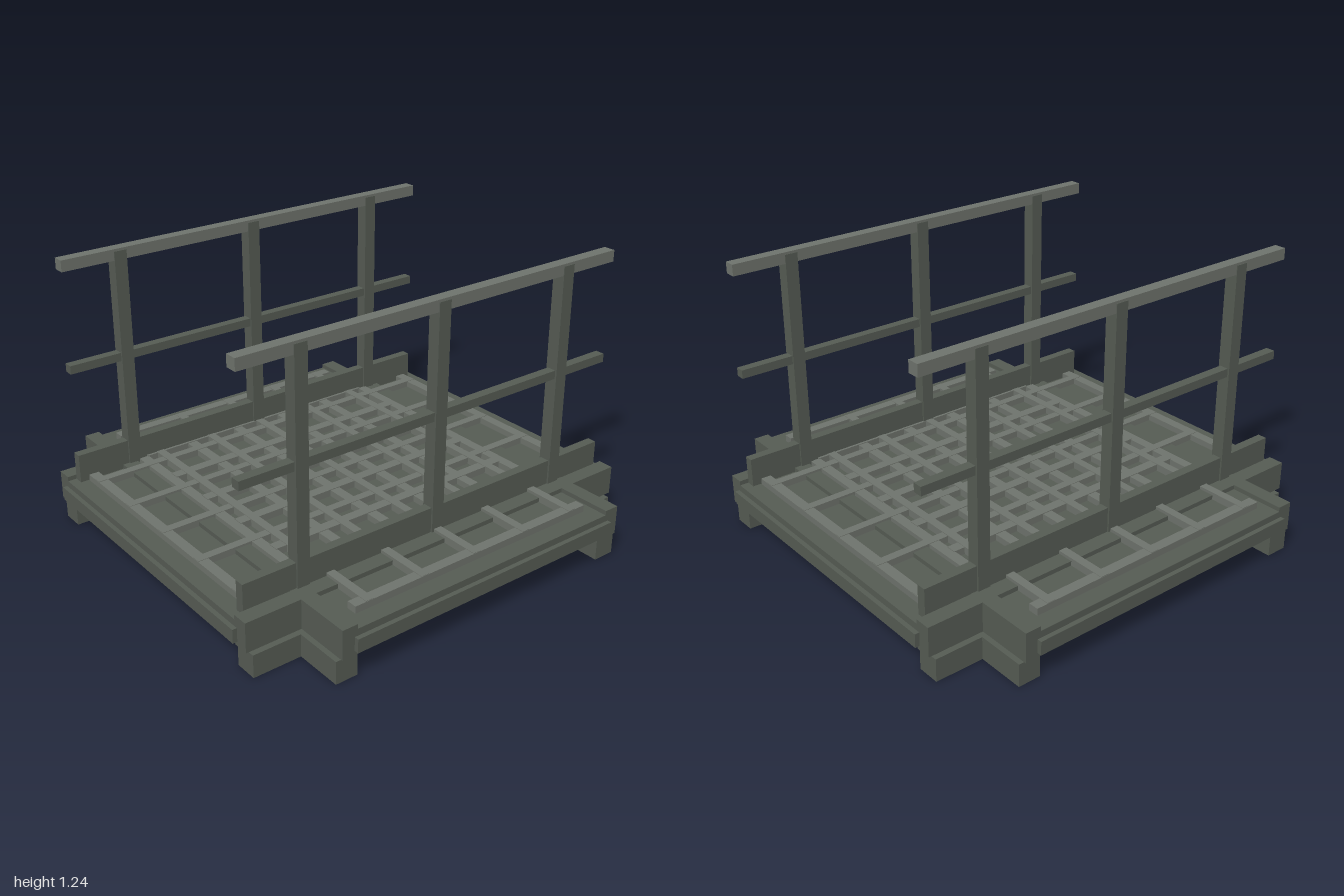
import * as THREE from 'three';

export function createModel() {
  const model = new THREE.Group();
  const dark = new THREE.MeshStandardMaterial({ color: 0x575d55 });
  const light = new THREE.MeshStandardMaterial({ color: 0x70756e });

  // Box given by its lower and upper bounds on each axis
  const box = (parent, name, mat, [x0, x1], [y0, y1], [z0, z1]) => {
    const mesh = new THREE.Mesh(new THREE.BoxGeometry(x1 - x0, y1 - y0, z1 - z0), mat);
    mesh.position.set((x0 + x1) / 2, (y0 + y1) / 2, (z0 + z1) / 2);
    mesh.name = name;
    parent.add(mesh);
  };
  const around = (c, w) => [c - w / 2, c + w / 2];
  const group = (name) => {
    const g = new THREE.Group();
    g.name = name;
    model.add(g);
    return g;
  };

  // Two identical layers at right angles make up the base and the grating
  for (const turn of [0, 1]) {
    const base = group(turn ? 'sideToSideBase' : 'frontToBackBase');
    base.rotation.y = turn * Math.PI / 2;
    for (const s of [-1, 1]) {
      box(base, 'groundBeam', dark, around(s * 0.695, 0.1), [0, 0.1], [-0.96, 0.96]);
      box(base, 'frameBeam', dark, around(s * 0.695, 0.07), [0.11, 0.24], [-0.98, 0.98]);
    }
    box(base, 'floorPlate', dark, [-0.675, 0.675], [0.13, 0.19], [-1, 1]);
    box(base, 'upperPlate', dark, [-0.66, 0.66], [0.19, 0.22], [-0.98, 0.98]);

    const grating = group(turn ? 'sideToSideGrating' : 'frontToBackGrating');
    grating.rotation.y = turn * Math.PI / 2;
    const top = turn ? 0.253 : 0.25;
    for (let i = -2; i <= 2; i++) {
      box(grating, 'longBar', light, around(i * 0.27, 0.038), [0.22, top], [-0.9, 0.9]);
    }
    for (let i = -3.5; i <= 3.5; i++) {
      box(grating, 'crossBar', light, [-0.61, 0.61], [0.22, top - 0.002], around(i * 0.251, 0.046));
    }
  }

  // Handrails with posts, rails and toe boards on both sides
  for (const s of [-1, 1]) {
    const rail = group(s > 0 ? 'leftRailing' : 'rightRailing');
    const x = s * 0.637;
    for (const z of [-0.67, 0, 0.67]) {
      box(rail, 'post', dark, around(x, 0.058), [0.22, 1.23], around(z, 0.058));
    }
    box(rail, 'toeBoard', dark, around(x, 0.042), [0.22, 0.35], [-0.94, 0.94]);
    box(rail, 'midRail', dark, around(x, 0.042), [0.735, 0.773], [-0.94, 0.94]);
    box(rail, 'topRail', light, around(x, 0.052), [1.19, 1.24], [-0.94, 0.94]);
  }
  return model;
}
